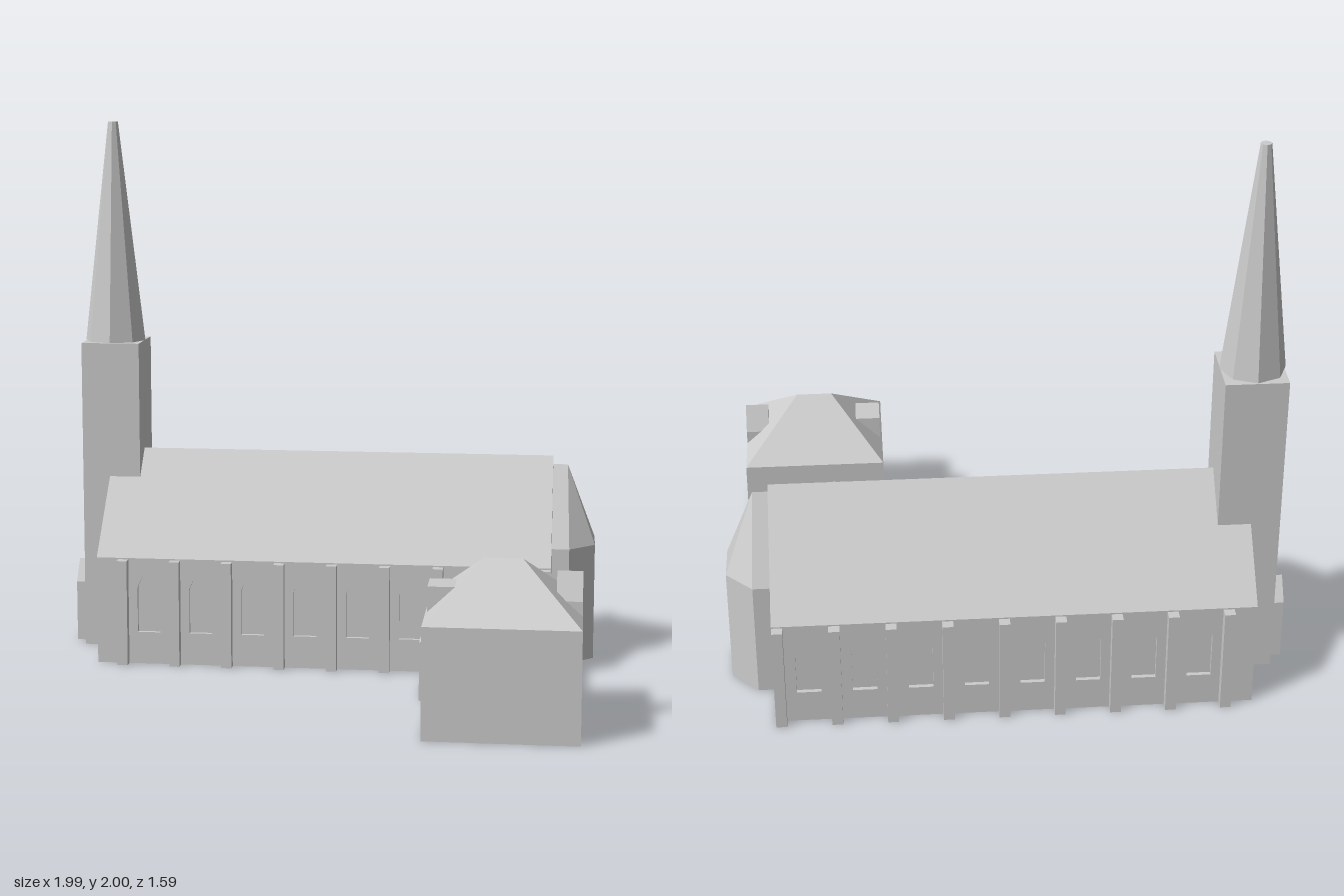
import * as THREE from 'three';
import { ConvexGeometry } from 'three/addons/geometries/ConvexGeometry.js';

const stone = new THREE.MeshStandardMaterial({ color: 0xcccccc });
stone.name = 'stone';
const RECESS = 0.015;

function part(parent, name, geometry, x = 0, y = 0, z = 0) {
  const mesh = new THREE.Mesh(geometry, stone);
  mesh.name = name;
  mesh.position.set(x, y, z);
  parent.add(mesh);
  return mesh;
}

// Box given by its limits
function block(parent, name, x0, x1, y0, y1, z0, z1) {
  return part(parent, name, new THREE.BoxGeometry(x1 - x0, y1 - y0, z1 - z0),
    (x0 + x1) / 2, (y0 + y1) / 2, (z0 + z1) / 2);
}

const outline = (points) => new THREE.Shape(points.map(([x, y]) => new THREE.Vector2(x, y)));
const extrude = (shape, depth) =>
  new THREE.ExtrudeGeometry(shape, { depth, bevelEnabled: false, curveSegments: 10 });
const hull = (points) => new ConvexGeometry(points.map((p) => new THREE.Vector3(...p)));

// Opening shapes
const rectangle = (x, y0, y1, w) => outline(
  [[x - w / 2, y0], [x + w / 2, y0], [x + w / 2, y1], [x - w / 2, y1]]);

function lancet(x, y0, y1, w) {
  const h = w / 2, spring = y1 - w * 0.75;
  const s = outline([[x - h, y0], [x + h, y0], [x + h, spring]]);
  s.quadraticCurveTo(x + h * 0.8, spring + w * 0.4, x, y1);
  s.quadraticCurveTo(x - h * 0.8, spring + w * 0.4, x - h, spring);
  return s;
}

function roundel(x, y, r) {
  const s = new THREE.Shape();
  s.absarc(x, y, r, 0, Math.PI * 2, false);
  return s;
}

// Wall skin with openings; local z runs outward
function wall(parent, name, x0, x1, height, openings) {
  const shape = outline([[x0, 0], [x1, 0], [x1, height], [x0, height]]);
  shape.holes.push(...openings);
  return part(parent, name, extrude(shape, RECESS));
}

// Gabled solid running along x
function gabledAlongX(parent, name, x0, x1, zc, half, eave, ridge, inset = 0) {
  const w = half - inset;
  const points = [[-w, 0], [w, 0], [w, eave], [half, eave], [0, ridge], [-half, eave], [-w, eave]];
  if (!inset) points.splice(6, 1), points.splice(2, 1);
  const mesh = part(parent, name, extrude(outline(points), x1 - x0), x0, 0, zc);
  mesh.rotation.y = Math.PI / 2;
  return mesh;
}

function buildNave() {
  const g = new THREE.Group();
  g.name = 'nave';
  const zc = -0.41, half = 0.35;
  gabledAlongX(g, 'naveBody', -0.85, 0.83, zc, half, 0.4, 0.757, RECESS);
  for (const side of [1, -1]) {
    const windows = [];
    for (let i = 0; i < 8; i++) windows.push(lancet(side * (-0.655 + i * 0.195), 0.12, 0.35, 0.085));
    const ends = [-0.85 * side, 0.83 * side].sort((a, b) => a - b);
    const skin = wall(g, 'naveWall', ends[0], ends[1], 0.4, windows);
    skin.position.z = zc + side * (half - RECESS);
    if (side < 0) skin.rotation.y = Math.PI;
    // Buttresses between the bays
    for (let i = 0; i < 9; i++) {
      const x = -0.75 + i * 0.195, z = zc + side * (half + 0.01);
      block(g, 'buttress', x - 0.019, x + 0.019, 0, 0.395, z - 0.025, z + 0.025);
    }
  }
  return g;
}

function buildTower() {
  const g = new THREE.Group();
  g.name = 'tower';
  const zc = -0.435;
  block(g, 'towerShaft', -0.953 + RECESS, -0.733, 0, 1.17, zc - 0.12, zc + 0.12);
  const west = wall(g, 'towerWestWall', -0.12, 0.12, 1.17, [
    lancet(-0.05, 0.92, 1.11, 0.055), lancet(0.05, 0.92, 1.11, 0.055),
    roundel(0, 0.69, 0.042),
    lancet(-0.05, 0.42, 0.55, 0.045), lancet(0.05, 0.42, 0.55, 0.045),
  ]);
  west.position.set(-0.953 + RECESS, 0, zc);
  west.rotation.y = -Math.PI / 2;
  // Eight sided spire
  const spire = new THREE.CylinderGeometry(0.019, 0.115, 0.83, 8).toNonIndexed();
  spire.computeVertexNormals();
  part(g, 'spire', spire, -0.845, 1.585, zc);
  // Gabled west porch
  gabledAlongX(g, 'porch', -1, -0.94, -0.44, 0.06, 0.23, 0.31);
  return g;
}

function buildApse() {
  const g = new THREE.Group();
  g.name = 'apse';
  const zc = -0.405, eave = 0.435;
  const plan = [[0.82, -0.172], [0.895, -0.172], [0.99, -0.077],
    [0.99, 0.077], [0.895, 0.172], [0.82, 0.172]];
  const core = plan.map(([x, z]) => [Math.min(x, 0.99 - RECESS), z]);
  // Keep the diagonal faces straight behind the east skin
  core.splice(2, 2, [0.99 - RECESS, -0.077 - RECESS], [0.99 - RECESS, 0.077 + RECESS]);
  part(g, 'apseBody', hull(core.flatMap(([x, z]) => [[x, 0, z], [x, eave, z]])), 0, 0, zc);
  const skin = outline([[-0.077, 0], [0.077, 0], [0.077, eave], [-0.077, eave]]);
  skin.holes.push(lancet(0, 0.125, 0.425, 0.07));
  const east = part(g, 'apseEastWall', extrude(skin, RECESS), 0.99 - RECESS, 0, zc);
  east.rotation.y = Math.PI / 2;
  // Slivers that finish the corners beside the skin
  for (const s of [1, -1]) {
    const corner = [[0.975, 0.077], [0.99, 0.077], [0.975, 0.092]];
    part(g, 'apseCorner', hull(corner.flatMap(([x, z]) => [[x, 0, s * z], [x, eave, s * z]])), 0, 0, zc);
  }
  part(g, 'apseRoof', hull([...plan.map(([x, z]) => [x, eave, z]),
    [0.82, 0.725, 0], [0.885, 0.725, 0]]), 0, 0, zc);
  return g;
}

function buildHouse() {
  const g = new THREE.Group();
  g.name = 'house';
  const x0 = 0.417, x1 = 0.943, z0 = 0.315, z1 = 0.793, zc = 0.554, eave = 0.387;
  block(g, 'houseBody', x0 + RECESS, x1 - RECESS, 0, eave, z0, z1);
  // Windowed end walls
  for (const side of [1, -1]) {
    const windows = [];
    for (const u of [-0.14, 0, 0.14]) {
      const drop = u === 0 ? 0.03 : 0;
      windows.push(rectangle(u, 0.225, 0.33, 0.058));
      windows.push(rectangle(u, 0.07 - drop, 0.175 - drop * 0.8, 0.058));
    }
    const skin = wall(g, 'houseEndWall', -0.239, 0.239, eave, windows);
    skin.position.set(side > 0 ? x1 - RECESS : x0 + RECESS, 0, zc);
    skin.rotation.y = side * Math.PI / 2;
  }
  // Hipped roof
  part(g, 'houseRoof', hull([[x0, eave, z0], [x1, eave, z0], [x1, eave, z1], [x0, eave, z1],
    [0.61, 0.57, zc - 0.006], [0.742, 0.57, zc - 0.006]]));
  // Gabled dormer on one end, flat dormer on the other
  const gable = outline([[-0.046, 0], [0.046, 0], [0.046, 0.05], [0, 0.145], [-0.046, 0.05]]);
  const dormer = part(g, 'gabledDormer', extrude(gable, 0.087), 0.856, eave, zc - 0.008);
  dormer.rotation.y = Math.PI / 2;
  block(g, 'flatDormer', 0.425, 0.52, eave, 0.482, 0.495, 0.618);
  return g;
}

function buildLink() {
  const shape = outline([[0.378, 0], [0.835, 0], [0.835, 0.21], [0.607, 0.312], [0.378, 0.21]]);
  const g = new THREE.Group();
  g.name = 'linkWing';
  part(g, 'linkBody', extrude(shape, 0.385), 0, 0, -0.065);
  return g;
}

export function createModel() {
  const model = new THREE.Group();
  model.name = 'church';
  model.add(buildNave(), buildTower(), buildApse(), buildHouse(), buildLink());
  return model;
}
